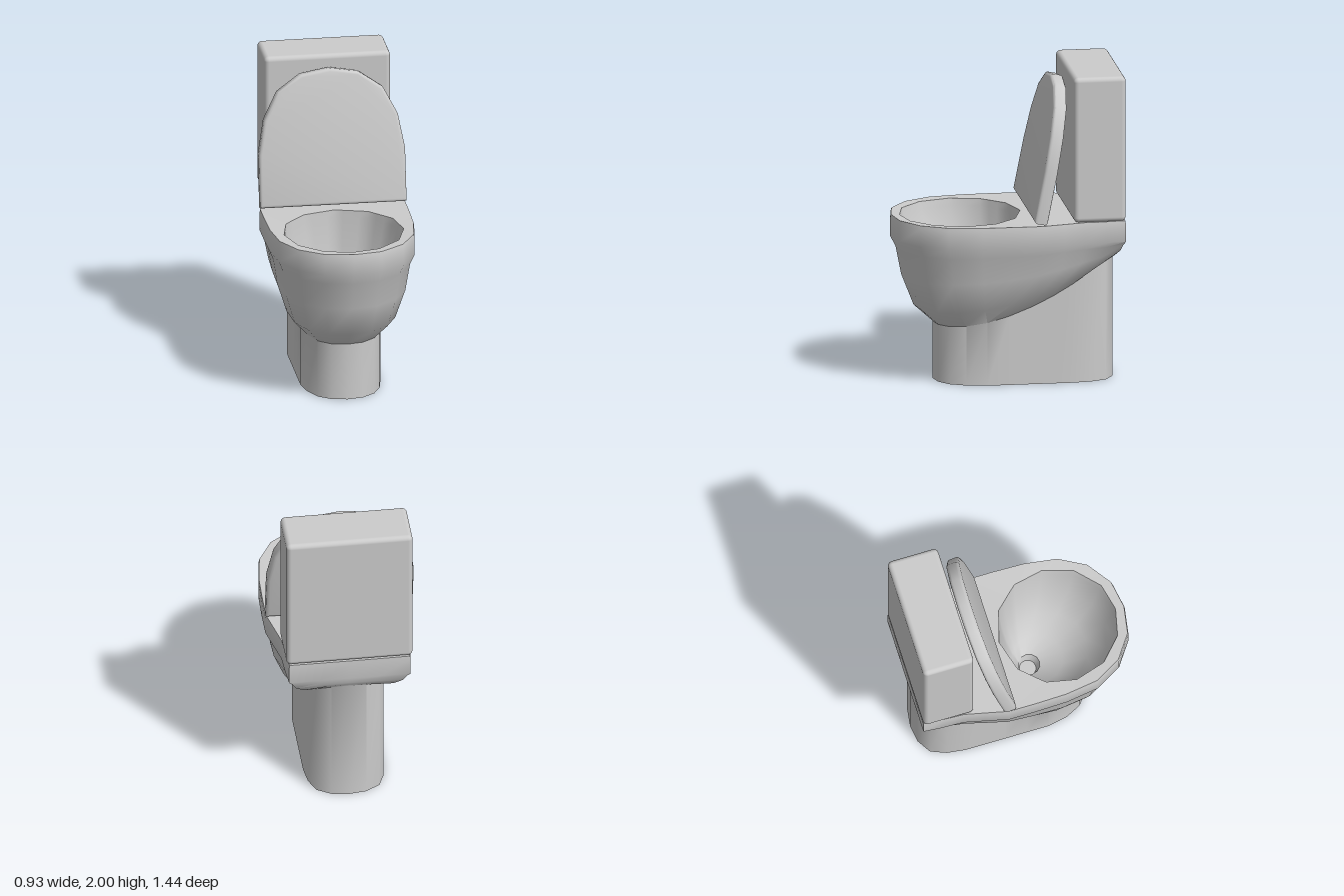
import * as THREE from 'three';
import { toCreasedNormals } from 'three/addons/utils/BufferGeometryUtils.js';
import { RoundedBoxGeometry } from 'three/addons/geometries/RoundedBoxGeometry.js';

// Half outlines as [x, z], running from front centre round the left side to back centre
const FOOT = [[0, .45], [.1, .43], [.18, .37], [.23, .27], [.255, .14], [.255, 0], [.255, -.15],
  [.255, -.28], [.255, -.4], [.24, -.52], [.2, -.62], [.11, -.675], [0, -.69]];
const RIM = [[0, .72], [.18, .69], [.335, .58], [.43, .41], [.46, .2], [.465, 0], [.465, -.18],
  [.43, -.33], [.4, -.46], [.395, -.6], [.385, -.72], [.19, -.72], [0, -.72]];
const HOLE = [[0, .66], [.175, .62], [.32, .485], [.38, .29], [.36, .195], [.34, .1], [.295, .05],
  [.25, .003], [.205, -.045], [.15, -.061], [.1, -.076], [.05, -.09], [0, -.105]];

// Mirror a half ring of [x, y, z] into a closed ring
function mirrorRing(half) {
  return [...half, ...half.slice(1, -1).reverse().map(([x, y, z]) => [-x, y, z])];
}

// Outer ring: blend from foot to rim, its height rising from front to back
function shellRing(t, yFront, yBack) {
  return mirrorRing(FOOT.map(([fx, fz], i) => {
    const [rx, rz] = RIM[i];
    const s = (.45 - fz) / 1.14;
    return [fx + (rx - fx) * t, yFront + (yBack - yFront) * s * s, fz + (rz - fz) * t];
  }));
}

// Inner ring: the bowl opening shrunk towards the drain
function bowlRing(scale, y) {
  const cz = .05;
  return mirrorRing(HOLE.map(([x, z]) => [x * scale, y, cz + (z - cz) * scale]));
}

// Skin a list of equal-sized closed rings
function loft(rings) {
  const n = rings[0].length;
  const index = [];
  for (let k = 0; k < rings.length - 1; k++) {
    for (let j = 0; j < n; j++) {
      const a = k * n + j, b = k * n + (j + 1) % n;
      index.push(a, b, b + n, a, b + n, a + n);
    }
  }
  const geo = new THREE.BufferGeometry();
  geo.setAttribute('position', new THREE.Float32BufferAttribute(rings.flat(2), 3));
  geo.setIndex(index);
  return toCreasedNormals(geo, .75);
}

export function createModel() {
  const model = new THREE.Group();
  const grey = new THREE.MeshStandardMaterial({ color: 0xcccccc });
  const shell = new THREE.MeshStandardMaterial({ color: 0xcccccc, side: THREE.DoubleSide });
  const add = (name, geometry, material = grey) => {
    const mesh = new THREE.Mesh(geometry, material);
    mesh.name = name;
    model.add(mesh);
    return mesh;
  };

  // Pedestal, flared bowl and basin in one skin, open underneath
  add('pedestalAndBowl', loft([
    shellRing(0, 0, 0),
    shellRing(0, .37, .85),
    shellRing(.45, .48, .87),
    shellRing(.74, .68, .89),
    shellRing(.87, .86, .91),
    shellRing(1, .93, .93),
    shellRing(1, 1.045, 1.045),
    shellRing(.98, 1.068, 1.066),
    bowlRing(1, 1.065),
    bowlRing(.98, 1.02),
    bowlRing(.88, .83),
    bowlRing(.68, .66),
    bowlRing(.42, .55),
    bowlRing(.18, .5),
    bowlRing(.14, .44),
    bowlRing(0, .44),
  ]), shell);

  // Cistern
  const tank = add('tank', new RoundedBoxGeometry(.8, .935, .33, 3, .03));
  tank.position.set(0, 1.5325, -.555);

  // Raised lid, leaning back against the cistern
  const side = [[.465, 0], [.465, .34], [.425, .56], [.335, .735], [.185, .84]];
  const outline = [...side, [0, .87], ...side.slice().reverse().map(([x, y]) => [-x, y])];
  const lidGeo = new THREE.ExtrudeGeometry(
    new THREE.Shape(outline.map(([x, y]) => new THREE.Vector2(x, y))),
    { depth: .045, bevelSize: .02, bevelThickness: .02, bevelOffset: -.02, bevelSegments: 3 });
  lidGeo.translate(0, 0, -.0225);
  const lid = add('lid', toCreasedNormals(lidGeo, .6));
  lid.position.set(0, 1.08, -.17);
  lid.rotation.x = -.195;

  return model;
}
